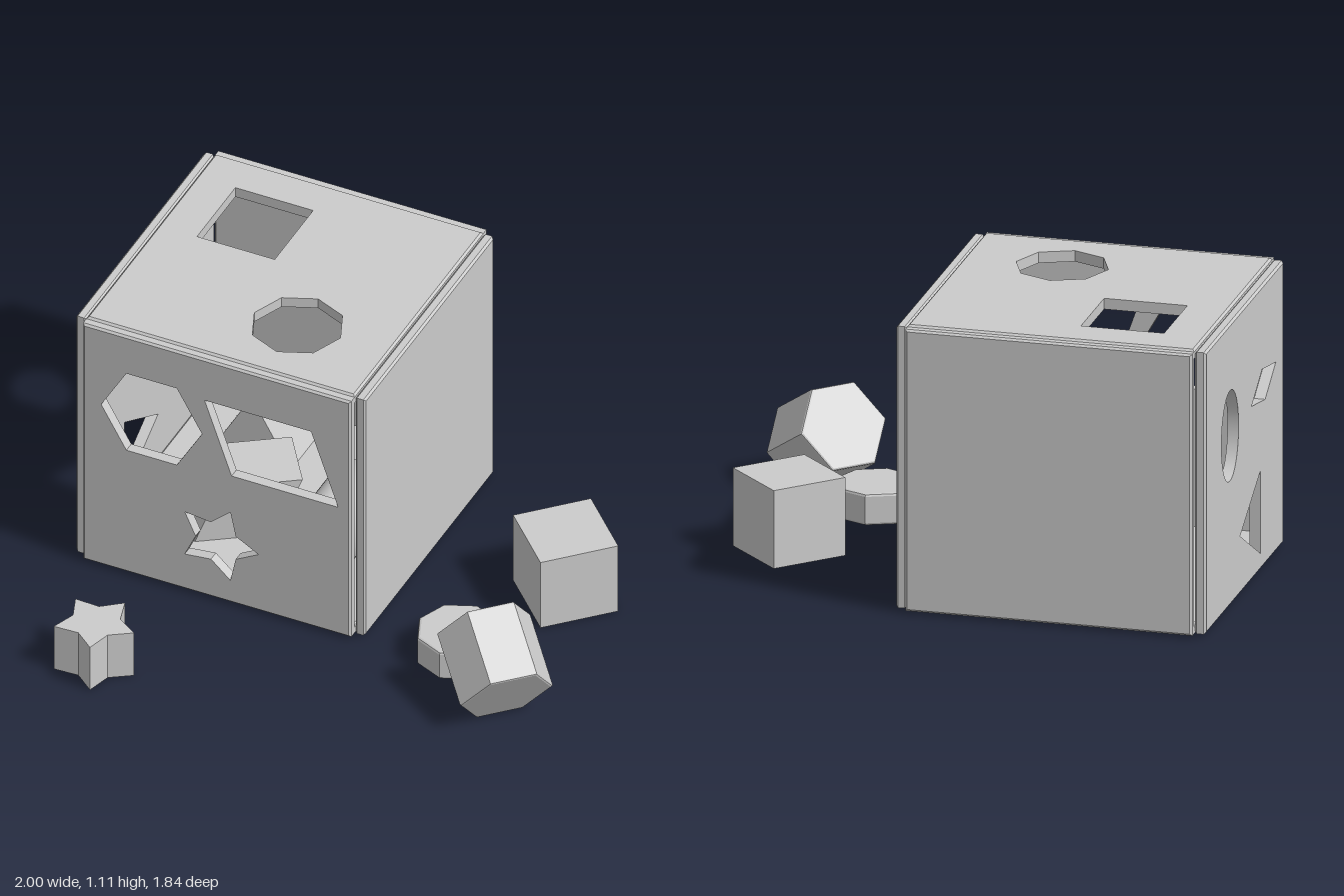
import * as THREE from 'three';
import { toCreasedNormals } from 'three/addons/utils/BufferGeometryUtils.js';

const CENTRE = new THREE.Vector3(-0.4115, 0.557, -0.345); // middle of the box
const SIDE = 1.09, THICK = 0.042, CHAMFER = 0.008;

const material = new THREE.MeshStandardMaterial({ color: 0xcccccc });

// regular outline with n corners; a second radius turns it into a star
function ring(n, r, inner = 0, cx = 0, cy = 0, ry = r) {
  const count = inner ? n * 2 : n;
  return Array.from({ length: count }, (_, i) => {
    const a = (i / count) * Math.PI * 2;
    const k = inner && i % 2 ? inner / r : 1;
    return [cx + Math.cos(a) * r * k, cy + Math.sin(a) * ry * k];
  });
}

const toPoints = (pts) => pts.map(([x, y]) => new THREE.Vector2(x, y));

// square wall panel, outer face at local z = 0, chamfered rim and cut-outs
function panel(name, holes = []) {
  const h = SIDE / 2;
  const shape = new THREE.Shape(toPoints([[-h, -h], [h, -h], [h, h], [-h, h]]));
  for (const hole of holes) shape.holes.push(new THREE.Path(toPoints(hole)));
  const geo = new THREE.ExtrudeGeometry(shape, { depth: THICK, steps: 3, bevelEnabled: false });
  const levels = [0, CHAMFER, THICK - CHAMFER, THICK];
  const p = geo.attributes.position;
  const inset = (v) => (Math.abs(v) > h - 1e-4 ? v - Math.sign(v) * CHAMFER : v);
  for (let i = 0; i < p.count; i++) {
    const k = Math.round((p.getZ(i) / THICK) * 3);
    if (k === 0 || k === 3) p.setXY(i, inset(p.getX(i)), inset(p.getY(i)));
    p.setZ(i, levels[k] - THICK);
  }
  const mesh = new THREE.Mesh(toCreasedNormals(geo, 0.4), material);
  mesh.name = name;
  return mesh;
}

// prism centred on the origin, axis along z, with optional small bevel
function prism(name, pts, length, bevel = 0, crease = 0.3) {
  const geo = new THREE.ExtrudeGeometry(new THREE.Shape(toPoints(pts)), {
    depth: length - 2 * bevel, bevelEnabled: bevel > 0, bevelSize: bevel,
    bevelThickness: bevel, bevelOffset: -bevel, bevelSegments: 2,
  });
  geo.translate(0, 0, -(length - 2 * bevel) / 2);
  const mesh = new THREE.Mesh(toCreasedNormals(geo, crease), material);
  mesh.name = name;
  return mesh;
}

function place(mesh, x, y, z, rx = 0, ry = 0) {
  mesh.position.set(x, y, z);
  mesh.rotation.set(rx, ry, 0, 'YXZ');
  return mesh;
}

export function createModel() {
  const model = new THREE.Group();
  const { x: cx, y: cy, z: cz } = CENTRE;
  const shift = (pts, dx, dy) => pts.map(([x, y]) => [x - dx, y - dy]);
  const up = -Math.PI / 2;

  // cut-outs
  const frontHoles = [
    ring(6, 0.205, 0, -0.675, 0.754),
    [[-0.46, 0.914], [-0.35, 0.6], [0.083, 0.6], [-0.027, 0.914]],
    ring(5, 0.166, 0.09, -0.406, 0.273),
  ].map((p) => shift(p, cx, cy));
  const sideHoles = [
    ring(40, 0.12, 0, -0.55, 0.67, 0.175),
    [[-0.25, 0.685], [-0.06, 0.65], [0.09, 0.745], [-0.1, 0.78]],
    [[-0.41, 0.235], [-0.125, 0.075], [-0.125, 0.395]],
  ].map((p) => shift(p, cz, cy));
  const topHoles = [
    [[-0.8, 0.41], [-0.484, 0.41], [-0.484, 0.735], [-0.8, 0.735]],
    ring(8, 0.175, 0, -0.238, 0.09),
  ].map((p) => shift(p, cx, -cz));

  // sorting box
  const box = new THREE.Group();
  box.name = 'sortingBox';
  box.add(
    place(panel('frontPanel', frontHoles), cx, cy, 0.234),
    place(panel('backPanel'), cx, cy, -0.924, 0, Math.PI),
    place(panel('rightPanel', sideHoles), -1, cy, cz, 0, -Math.PI / 2),
    place(panel('leftPanel'), 0.177, cy, cz, 0, Math.PI / 2),
    place(panel('topPanel', topHoles), cx, 1.11, cz, up),
    place(panel('bottomPanel'), cx, 0.004, cz, -up),
  );
  model.add(box);

  // loose blocks around the box
  const q = 0.151;
  const square = [[-q, -q], [q, -q], [q, q], [-q, q]];
  model.add(
    place(prism('starBlock', ring(5, 0.156, 0.092), 0.197), -0.645, 0.102, 0.77, up),
    place(prism('cubeBlock', square, 0.302), 0.73, 0.155, -0.345, up, Math.PI / 4),
    place(prism('octagonBlock', ring(8, 0.16), 0.122, 0.01), 0.532, 0.068, 0.15, up),
    place(prism('hexagonBlock', ring(6, 0.18), 0.3, 0.008), 0.78, 0.214, 0.357, Math.PI / 6, Math.PI / 4),
  );

  // blocks already dropped inside
  model.add(
    place(prism('ovalBlock', ring(40, 0.12, 0, 0, 0, 0.16), 0.3), -0.1, 0.206, -0.177),
    place(prism('triangleBlock', [[-0.16, -0.13], [0.16, -0.13], [0, 0.15]], 0.28), -0.64, 0.176, -0.68),
    place(prism('slantedBlock', [[-0.2, -0.12], [0.1, -0.12], [0.2, 0.12], [-0.1, 0.12]], 0.26), -0.52, 0.166, -0.22, 0, 0.6),
  );
  return model;
}
